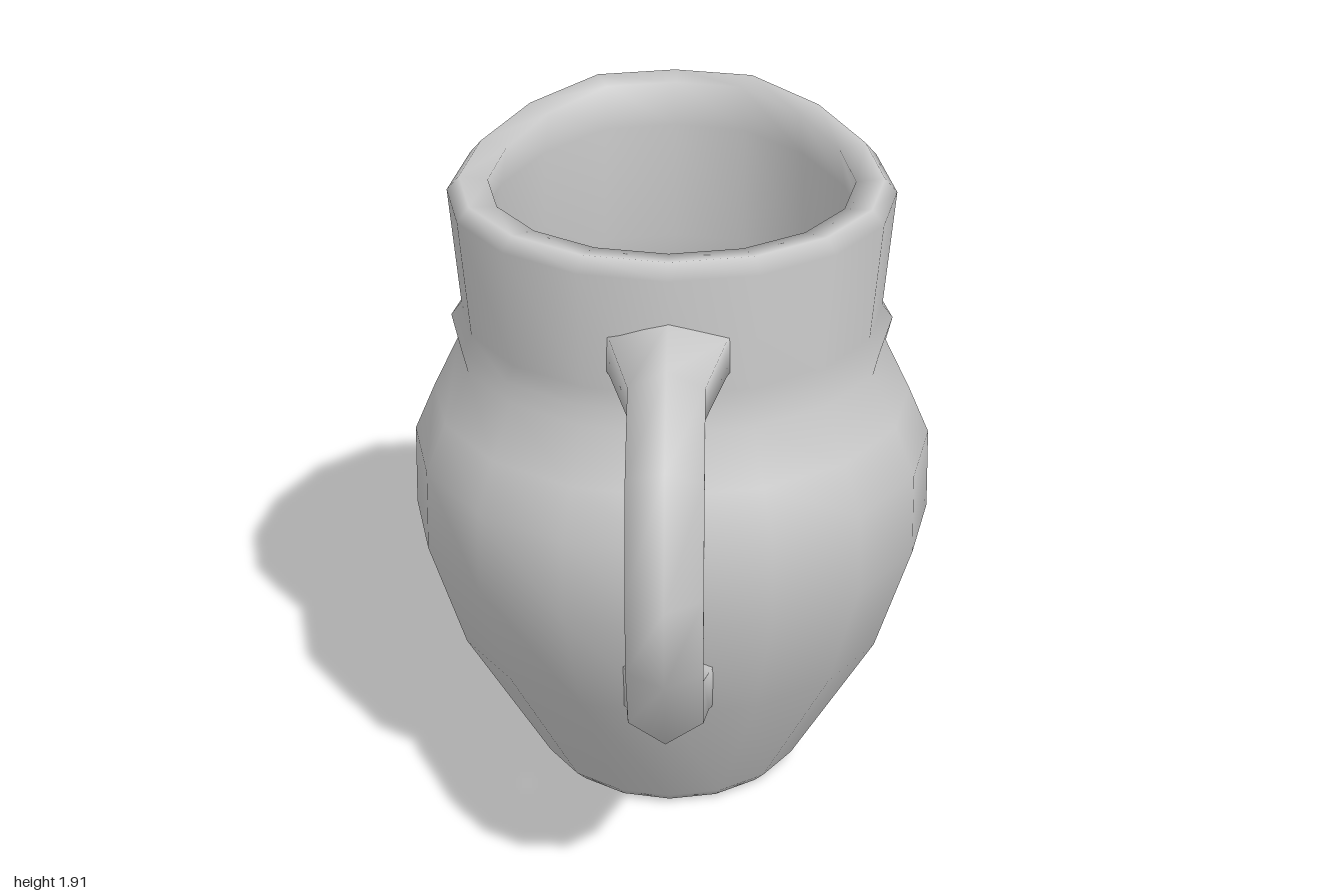
import * as THREE from 'three';
import { mergeVertices } from 'three/addons/utils/BufferGeometryUtils.js';

const AXIS_Z = -0.25; // centre line of the jug body

// Weld seams so the shading runs smoothly over the whole surface
function smooth(geometry) {
  geometry.deleteAttribute('uv');
  geometry.deleteAttribute('normal');
  const welded = mergeVertices(geometry, 1e-4);
  welded.computeVertexNormals();
  return welded;
}

// Hollow body: outer wall up, over the rim, inner wall down
function bodyGeometry() {
  const profile = [
    [0, 0], [0.355, 0], [0.39, 0.035], [0.64, 0.47], [0.745, 0.8], [0.74, 1.04],
    [0.68, 1.18], [0.608, 1.33], [0.625, 1.4], [0.595, 1.44], [0.625, 1.78],
    [0.59, 1.82], [0.51, 1.81], [0.53, 1.7], [0.54, 1.42], [0.6, 1.2],
    [0.665, 1.0], [0.665, 0.8], [0.56, 0.47], [0.34, 0.12], [0, 0.07],
  ].map(([r, y]) => new THREE.Vector2(r, y));
  const geometry = new THREE.LatheGeometry(profile, 16);

  // Raise the back of the rim into a pouring lip that leans outward
  const p = geometry.attributes.position;
  for (let i = 0; i < p.count; i++) {
    const x = p.getX(i), y = p.getY(i), z = p.getZ(i);
    const r = Math.hypot(x, z);
    if (y < 1.5 || r < 0.01) continue;
    const back = Math.max(0, -z / r);
    const rise = Math.min(1, (back / 0.92) ** 2) * Math.min(1, (y - 1.5) / 0.28);
    p.setY(i, y + 0.085 * rise);
    p.setZ(i, z - 0.045 * rise);
  }
  return smooth(geometry);
}

// Six-sided handle: each ring is [outer z, outer y, inner z, inner y, half width]
function handleGeometry() {
  const rings = [
    [0.27, 1.64, 0.27, 1.45, 0.18], [0.35, 1.655, 0.34, 1.44, 0.155],
    [0.62, 1.64, 0.54, 1.42, 0.1], [0.89, 1.485, 0.71, 1.33, 0.1],
    [1.0, 1.15, 0.765, 1.17, 0.1], [0.985, 0.92, 0.755, 0.97, 0.1],
    [0.79, 0.63, 0.605, 0.78, 0.1], [0.37, 0.42, 0.48, 0.725, 0.115],
    [0.27, 0.38, 0.34, 0.72, 0.15],
  ];
  // side (-1..1) and position from outer edge to inner edge
  const section = [[0, 0], [1, 0.25], [1, 0.75], [0, 1], [-1, 0.75], [-1, 0.25]];
  const positions = [], index = [];
  rings.forEach(([oz, oy, iz, iy, w], k) => {
    for (const [s, t] of section) {
      positions.push(s * w, oy + (iy - oy) * t, oz + (iz - oz) * t);
    }
    if (k === 0) return;
    for (let j = 0; j < 6; j++) {
      const a = (k - 1) * 6 + j, b = (k - 1) * 6 + (j + 1) % 6;
      index.push(a, a + 6, b, b, a + 6, b + 6);
    }
  });
  const geometry = new THREE.BufferGeometry();
  geometry.setAttribute('position', new THREE.Float32BufferAttribute(positions, 3));
  geometry.setIndex(index);
  geometry.computeVertexNormals();
  return geometry;
}

export function createModel() {
  const material = new THREE.MeshStandardMaterial({ color: 0xcccccc });
  const group = new THREE.Group();
  group.name = 'jug';

  const body = new THREE.Mesh(bodyGeometry(), material);
  body.name = 'body';
  body.position.z = AXIS_Z;

  const handle = new THREE.Mesh(handleGeometry(), material);
  handle.name = 'handle';

  group.add(body, handle);
  return group;
}
